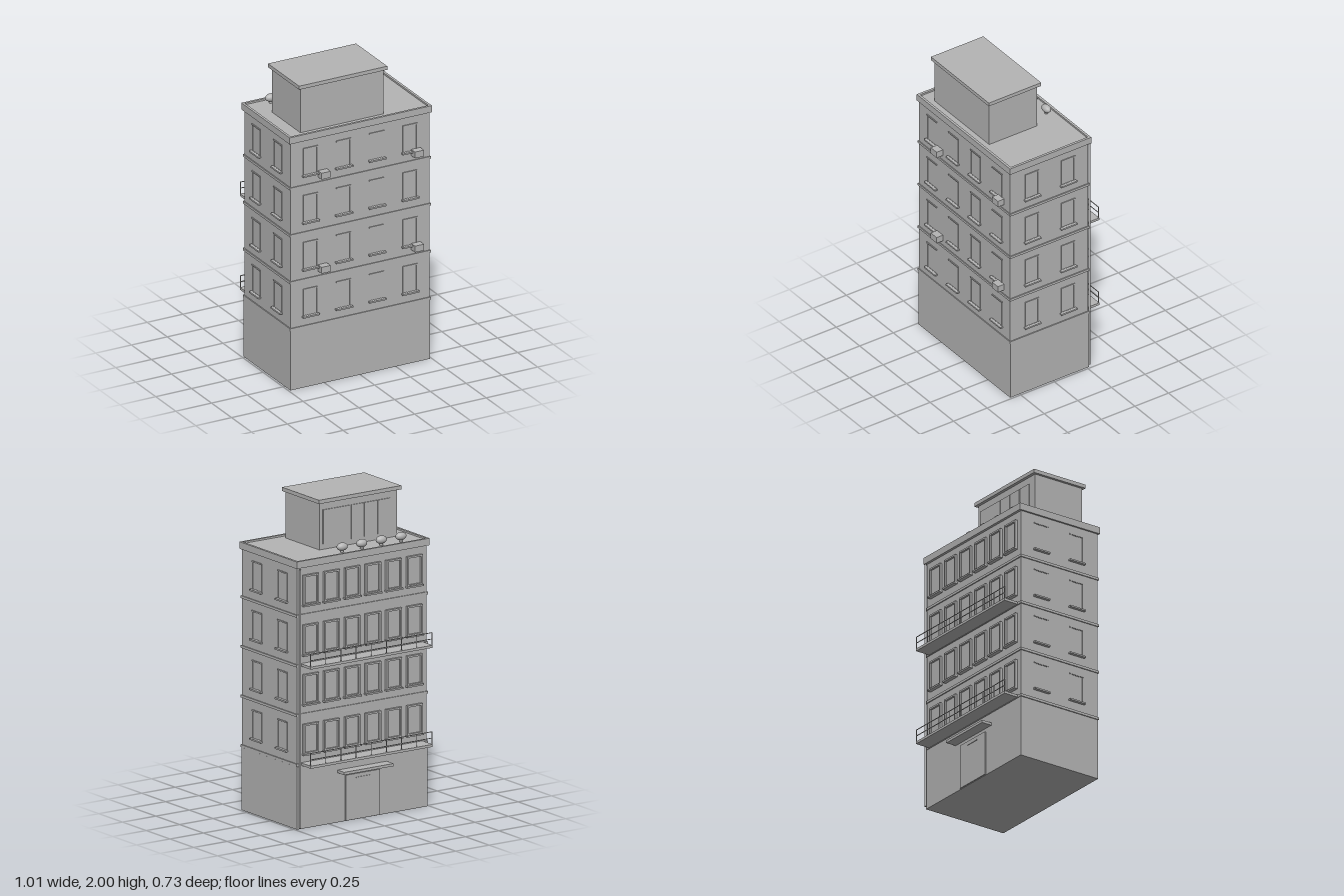
import * as THREE from 'three';

const concrete = new THREE.MeshStandardMaterial({ color: 0xb4b4b4 });
concrete.name = 'concrete grey';

function mesh(parent, name, geometry, x, y, z) {
  const m = new THREE.Mesh(geometry, concrete);
  m.name = name;
  m.position.set(x, y, z);
  parent.add(m);
  return m;
}

// Box given by its lower and upper limits on each axis
function box(parent, name, x0, x1, y0, y1, z0, z1) {
  return mesh(parent, name, new THREE.BoxGeometry(x1 - x0, y1 - y0, z1 - z0),
    (x0 + x1) / 2, (y0 + y1) / 2, (z0 + z1) / 2);
}

// Rectangular ring, extruded along +z
function ring(w, h, t, depth) {
  const s = new THREE.Shape([[-w, -h], [w, -h], [w, h], [-w, h]].map(([a, b]) => new THREE.Vector2(a / 2, b / 2)));
  const a = w / 2 - t, b = h / 2 - t;
  s.holes.push(new THREE.Path([[-a, -b], [-a, b], [a, b], [a, -b]].map(([p, q]) => new THREE.Vector2(p, q))));
  return new THREE.ExtrudeGeometry(s, { depth, bevelEnabled: false });
}

// Plain window: nearly flush frame, slim lintel and projecting sill, facing local +z
function plainWindow() {
  const g = new THREE.Group();
  g.name = 'plainWindow';
  mesh(g, 'windowFrame', ring(0.1, 0.18, 0.006, 0.003), 0, 0.09, 0);
  box(g, 'lintel', -0.052, 0.052, 0.176, 0.184, 0, 0.006);
  box(g, 'sill', -0.058, 0.058, -0.005, 0.005, 0, 0.02);
  return g;
}

// Framed window for the balcony side
function framedWindow() {
  const g = new THREE.Group();
  g.name = 'framedWindow';
  mesh(g, 'windowFrame', ring(0.114, 0.19, 0.011, 0.017), 0, 0.09, 0);
  box(g, 'windowPane', -0.047, 0.047, 0.004, 0.176, 0, 0.004);
  box(g, 'sill', -0.061, 0.061, -0.012, -0.002, 0, 0.025);
  return g;
}

function balcony(y) {
  const g = new THREE.Group();
  g.name = 'balcony';
  box(g, 'balconyFloor', -0.456, 0.456, y, y + 0.016, -0.365, -0.255);
  for (const h of [0.055, 0.095])
    box(g, 'balconyRail', -0.456, 0.456, y + h - 0.002, y + h + 0.002, -0.363, -0.359);
  for (let i = 0; i <= 8; i++) {
    const x = -0.454 + i * 0.1135;
    box(g, 'balconyPost', x - 0.002, x + 0.002, y + 0.016, y + 0.095, -0.363, -0.359);
  }
  return g;
}

export function createModel() {
  const building = new THREE.Group();
  building.name = 'building';

  // Walls
  box(building, 'groundFloor', -0.488, 0.488, 0, 0.395, -0.265, 0.32);
  box(building, 'upperFloors', -0.485, 0.485, 0.395, 1.65, -0.26, 0.318);

  // Four storeys of bands and windows
  for (let f = 0; f < 4; f++) {
    const y = 0.405 + f * 0.313;
    box(building, 'floorBand', -0.492, 0.492, y - 0.008, y + 0.008, -0.267, 0.324);
    const place = (w, x, z, turn) => {
      w.position.set(x, y + 0.068, z);
      w.rotation.y = turn;
      building.add(w);
    };
    for (let i = 0; i < 4; i++) place(plainWindow(), -0.348 + i * 0.232, 0.318, 0);
    for (const s of [-1, 1])
      for (const z of [-0.11, 0.158]) place(plainWindow(), s * 0.485, z, s * Math.PI / 2);
    for (let i = 0; i < 6; i++) place(framedWindow(), -0.388 + i * 0.155, -0.26, Math.PI);
  }

  // Air conditioners on the front
  for (const y of [0.755, 1.383])
    for (const x of [-0.295, 0.358]) box(building, 'airConditioner', x, x + 0.063, y, y + 0.042, 0.318, 0.365);

  // Balconies, entrance and drain pipe on the back
  for (const y of [0.4, 1.025]) building.add(balcony(y));
  box(building, 'entranceDoor', -0.128, 0.128, 0.003, 0.29, -0.273, -0.26);
  box(building, 'doorHandleBar', -0.05, 0.05, 0.262, 0.267, -0.277, -0.27);
  box(building, 'entranceCanopy', -0.185, 0.185, 0.313, 0.33, -0.335, -0.26);
  mesh(building, 'drainPipe', new THREE.CylinderGeometry(0.007, 0.007, 1.63, 10), 0.475, 0.825, -0.279);

  // Roof slab with a low parapet
  box(building, 'roofSlab', -0.497, 0.497, 1.647, 1.68, -0.277, 0.328);
  const parapet = mesh(building, 'parapet', ring(0.994, 0.605, 0.016, 0.012), 0, 1.679, 0.0255);
  parapet.rotation.x = -Math.PI / 2;

  // Rooftop vents
  for (let i = 0; i < 4; i++) {
    const vent = mesh(building, 'roofVent', new THREE.SphereGeometry(1, 20, 14), -0.328 + i * 0.1465, 1.716, -0.211);
    vent.scale.set(0.038, 0.025, 0.025);
    mesh(building, 'ventStem', new THREE.CylinderGeometry(0.01, 0.01, 0.03, 10), vent.position.x, 1.69, -0.211);
  }

  // Penthouse with panelled back wall
  box(building, 'penthouse', -0.39, 0.192, 1.68, 1.978, -0.085, 0.27);
  box(building, 'penthouseRoof', -0.407, 0.209, 1.976, 2, -0.105, 0.285);
  const panels = [0.17, -0.04, -0.138, -0.238, -0.338];
  for (let i = 0; i < 4; i++)
    box(building, 'penthousePanel', panels[i + 1] + 0.003, panels[i] - 0.003, 1.715, 1.93, -0.091, -0.084);

  return building;
}
